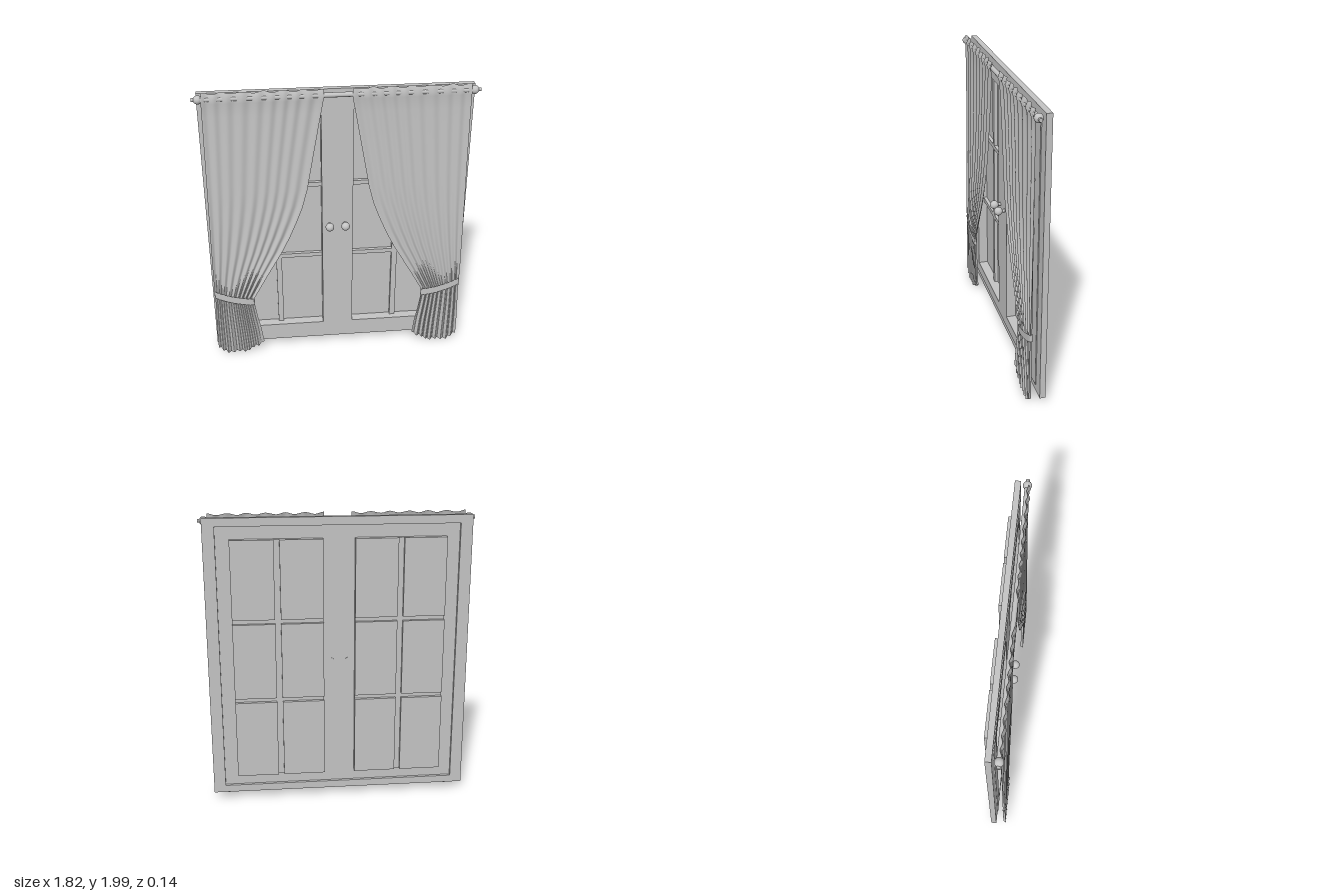
import * as THREE from 'three';

const grey = new THREE.MeshStandardMaterial({ color: 0xc4c4c4, side: THREE.DoubleSide });
grey.name = 'plain grey';

function part(parent, name, geometry, x = 0, y = 0, z = 0) {
  const mesh = new THREE.Mesh(geometry, grey);
  mesh.name = name;
  mesh.position.set(x, y, z);
  parent.add(mesh);
  return mesh;
}

// Rectangles are [x0, x1, y0, y1]
function trace(path, [x0, x1, y0, y1]) {
  path.moveTo(x0, y0).lineTo(x1, y0).lineTo(x1, y1).lineTo(x0, y1).closePath();
  return path;
}

function panel(rect, holes) {
  const shape = trace(new THREE.Shape(), rect);
  shape.holes = holes.map((h) => trace(new THREE.Path(), h));
  return shape;
}

function slab(parent, name, rect, holes, zBack, zFront) {
  const geometry = new THREE.ExtrudeGeometry(panel(rect, holes), { depth: zFront - zBack, bevelEnabled: false });
  return part(parent, name, geometry, 0, 0, zBack);
}

// Box shell without its front face, and optionally without its back
function tray(parent, name, [x0, x1, y0, y1], zBack, zFront, hasBack) {
  const g = new THREE.BoxGeometry(x1 - x0, y1 - y0, zFront - zBack);
  const index = Array.from(g.index.array);
  g.setIndex([...index.slice(0, 24), ...(hasBack ? index.slice(30, 36) : [])]);
  g.clearGroups();
  part(parent, name, g, (x0 + x1) / 2, (y0 + y1) / 2, (zBack + zFront) / 2);
}

function lerpRows(rows, y) {
  let i = 0;
  while (i < rows.length - 2 && y < rows[i + 1][0]) i++;
  const a = rows[i], b = rows[i + 1];
  const t = (a[0] - y) / (a[0] - b[0]);
  return a.map((v, k) => v + (b[k] - v) * t);
}

// Curtain rows from top to hem: y, outer x, inner x, z, fold depth
const ROWS = [
  [1.99, 0.845, 0.09, 0.036, 0.005],
  [1.955, 0.85, 0.09, 0.05, 0.005],
  [1.925, 0.85, 0.093, 0.04, 0.005],
  [1.75, 0.852, 0.125, 0.038, 0.005],
  [1.5, 0.855, 0.17, 0.04, 0.005],
  [1.305, 0.858, 0.205, 0.042, 0.005],
  [1.18, 0.86, 0.238, 0.043, 0.006],
  [1.08, 0.861, 0.275, 0.044, 0.006],
  [0.95, 0.863, 0.33, 0.045, 0.007],
  [0.83, 0.864, 0.39, 0.046, 0.007],
  [0.65, 0.866, 0.495, 0.048, 0.008],
  [0.475, 0.864, 0.592, 0.05, 0.009],
  [0.42, 0.864, 0.592, 0.05, 0.009],
  [0.31, 0.868, 0.575, 0.051, 0.009],
  [0.2, 0.87, 0.556, 0.052, 0.01],
  [0.06, 0.87, 0.54, 0.053, 0.01],
];
// Drop of the hem from outer to inner edge
const HEM = [0.005, -0.025, -0.05, -0.05, -0.043, -0.042, -0.05, -0.03, -0.005, 0.0, 0.04];

function curtainGeometry(side) {
  const cols = 96;
  const ys = [];
  ROWS.forEach((r, i) => {
    ys.push(r[0]);
    if (i > 1 && i < ROWS.length - 1) ys.push((r[0] + ROWS[i + 1][0]) / 2);
  });
  const g = new THREE.PlaneGeometry(1, 1, cols, ys.length - 1);
  const p = g.attributes.position;
  for (let i = 0; i < p.count; i++) {
    const u = (i % (cols + 1)) / cols;
    const y = ys[Math.floor(i / (cols + 1))];
    const [, outer, inner, z, fold] = lerpRows(ROWS, y);
    const wave = Math.cos(u * Math.PI * 18 + 0.8 * Math.sin(u * 9));
    const h = u * (HEM.length - 1), k = Math.min(Math.floor(h), HEM.length - 2);
    const drop = HEM[k] + (HEM[k + 1] - HEM[k]) * (h - k);
    const hemPull = Math.max(0, 1 - (y - 0.06) / 0.25);
    const ripple = y > 1.98 ? 0.006 * Math.cos(u * Math.PI * 12) + 0.003 : 0;
    p.setXYZ(i, side * (outer + (inner - outer) * u), y + ripple + drop * hemPull, z + fold * wave);
  }
  g.computeVertexNormals();
  return g;
}

// Flattened sagging band around the gathered cloth
function tieGeometry(side) {
  const g = new THREE.CylinderGeometry(1, 1, 0.052, 40, 1, true);
  const p = g.attributes.position;
  for (let i = 0; i < p.count; i++) {
    const c = p.getX(i), s = p.getZ(i);
    const x = 0.73 + 0.138 * c;
    const u = (0.868 - x) / 0.276;
    const y = 0.524 - 0.08 * u - 0.05 * u * (1 - u) + p.getY(i);
    p.setXYZ(i, side * x, y, 0.05 + 0.016 * Math.sign(s) * Math.sqrt(Math.abs(s)));
  }
  g.computeVertexNormals();
  return g;
}

export function createModel() {
  const model = new THREE.Group();
  model.name = 'curtainedWindow';

  // Outer frame and the sash set inside it
  const opening = [-0.8, 0.8, 0.11, 1.925];
  slab(model, 'frame', [-0.88, 0.88, 0.06, 1.98], [opening], -0.046, -0.008);
  const windows = [[-0.71, -0.105, 0.19, 1.84], [0.105, 0.71, 0.19, 1.84]];
  slab(model, 'sash', opening, windows, -0.025, -0.002);

  // Deep reveals, glazing bars and recessed panes
  for (const win of windows) {
    tray(model, 'reveal', win, -0.046, -0.025, false);
    const mid = (win[0] + win[1]) / 2;
    const panes = [];
    for (const [x0, x1] of [[win[0], mid - 0.019], [mid + 0.019, win[1]]]) {
      for (const [y0, y1] of [[0.19, 0.73], [0.76, 1.28], [1.31, 1.84]]) panes.push([x0, x1, y0, y1]);
    }
    // Bars: one upright and two crosspieces as flat faces
    const bars = new THREE.Group();
    bars.name = 'glazingBars';
    model.add(bars);
    part(bars, 'uprightBar', new THREE.PlaneGeometry(0.038, 1.65), mid, 1.015, -0.046);
    for (const y of [0.745, 1.295]) {
      for (const s of [-1, 1]) {
        const w = (win[1] - win[0]) / 2 - 0.019;
        part(bars, 'crossBar', new THREE.PlaneGeometry(w, 0.03), mid + s * (0.019 + w / 2), y, -0.046);
      }
    }
    panes.forEach((r) => tray(model, 'pane', r, -0.07, -0.046, true));
  }

  // Knobs on stems that pass through the sash
  for (const x of [-0.057, 0.05]) {
    part(model, 'knob', new THREE.SphereGeometry(0.029, 24, 16), x, 1.01, 0.042);
    part(model, 'knobStem', new THREE.CylinderGeometry(0.012, 0.012, 0.07, 16), x, 1.01, 0.006).rotation.x = Math.PI / 2;
  }

  // Rod with ball finials
  const rodY = 1.954, rodZ = 0.032;
  part(model, 'rod', new THREE.CylinderGeometry(0.016, 0.016, 1.74, 16), 0, rodY, rodZ).rotation.z = Math.PI / 2;
  for (const side of [-1, 1]) {
    part(model, 'finial', new THREE.SphereGeometry(0.028, 24, 16), side * 0.868, rodY, rodZ);
    part(model, 'finialTip', new THREE.CylinderGeometry(0.012, 0.012, 0.03, 16), side * 0.893, rodY, rodZ).rotation.z = Math.PI / 2;

    // Curtain and its tie-back
    part(model, 'curtain', curtainGeometry(side));
    part(model, 'tieBack', tieGeometry(side));
  }
  return model;
}
